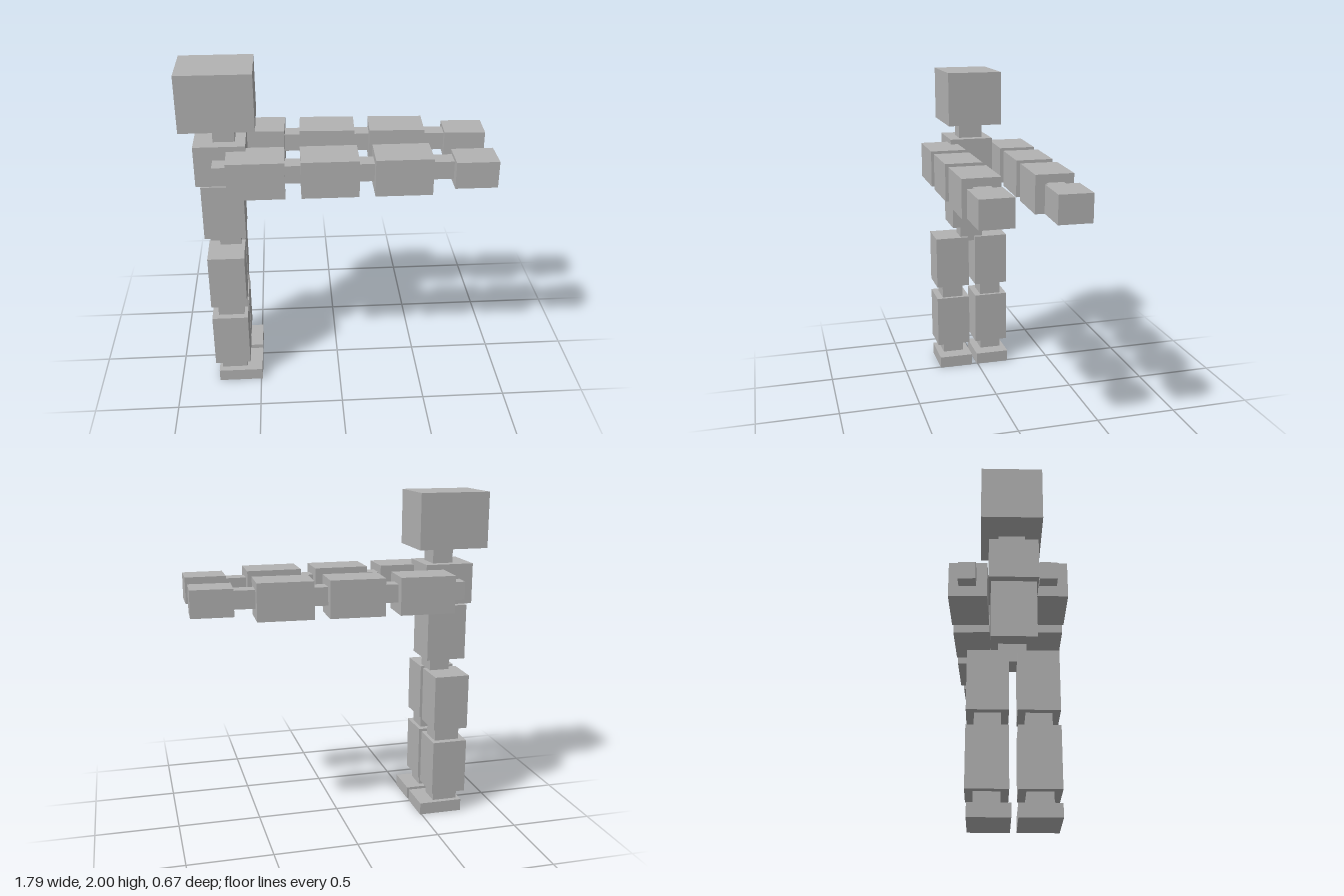
import * as THREE from 'three';

export function createModel() {
  const model = new THREE.Group();
  const grey = new THREE.MeshStandardMaterial({ color: 0xb2b2b2 });
  grey.name = 'plain grey';

  // Box given by its extents along each axis
  function block(parent, name, [x0, x1], [y0, y1], [z0, z1]) {
    const mesh = new THREE.Mesh(new THREE.BoxGeometry(x1 - x0, y1 - y0, z1 - z0), grey);
    mesh.name = name;
    mesh.position.set((x0 + x1) / 2, (y0 + y1) / 2, (z0 + z1) / 2);
    parent.add(mesh);
    return mesh;
  }

  // Head and trunk
  const core = [-0.71, -0.585], coreZ = [-0.06, 0.09];
  block(model, 'head', [-0.89, -0.465], [1.668, 2], [-0.16, 0.183]);
  block(model, 'neck', core, [1.57, 1.668], coreZ);
  block(model, 'chest', [-0.82, -0.525], [1.327, 1.572], [-0.115, 0.16]);
  block(model, 'waist', core, [1.313, 1.327], coreZ);
  block(model, 'torso', [-0.795, -0.55], [0.975, 1.315], [-0.102, 0.148]);
  block(model, 'pelvis', core, [0.87, 0.975], coreZ);

  // Legs, each centred on its own z
  for (const [side, z, footZ] of [['left', 0.15, 0.15], ['right', -0.114, -0.104]]) {
    const leg = new THREE.Group();
    leg.name = side + 'Leg';
    const wide = [z - 0.11, z + 0.11], narrow = [z - 0.069, z + 0.069];
    block(leg, 'thigh', [-0.778, -0.562], [0.56, 0.9], wide);
    block(leg, 'knee', [-0.74, -0.585], [0.475, 0.56], narrow);
    block(leg, 'shin', [-0.778, -0.562], [0.138, 0.477], wide);
    block(leg, 'ankle', [-0.74, -0.585], [0.075, 0.138], narrow);
    block(leg, 'foot', [-0.76, -0.49], [0, 0.075], [footZ - 0.11, footZ + 0.11]);
    model.add(leg);
  }

  // Arms stretched towards +x, built about their own centre line
  function arm(name, z, yaw, handShift, shift) {
    const group = new THREE.Group();
    group.name = name;
    const thick = [1.322, 1.542], jointY = [1.388, 1.495];
    const wide = [-0.11, 0.11], jointZ = [-0.052, 0.048];
    block(group, 'shoulder', [-0.713, -0.634], jointY, jointZ);
    for (let i = 0; i < 3; i++) {
      const x = -0.634 + i * 0.414;
      block(group, 'armSegment', [x, x + 0.325], thick, wide);
      block(group, 'armJoint', [x + 0.325, x + (i < 2 ? 0.414 : 0.45)], jointY, jointZ);
    }
    block(group, 'hand', [0.643, 0.885], [1.356, 1.515], [handShift - 0.095, handShift + 0.095]);
    group.rotation.y = yaw;
    group.position.set(shift, 0, z);
    model.add(group);
  }
  arm('leftArm', 0.222, 0, 0.015, 0);
  arm('rightArm', -0.207, -0.04, -0.004, 0.008);

  return model;
}
